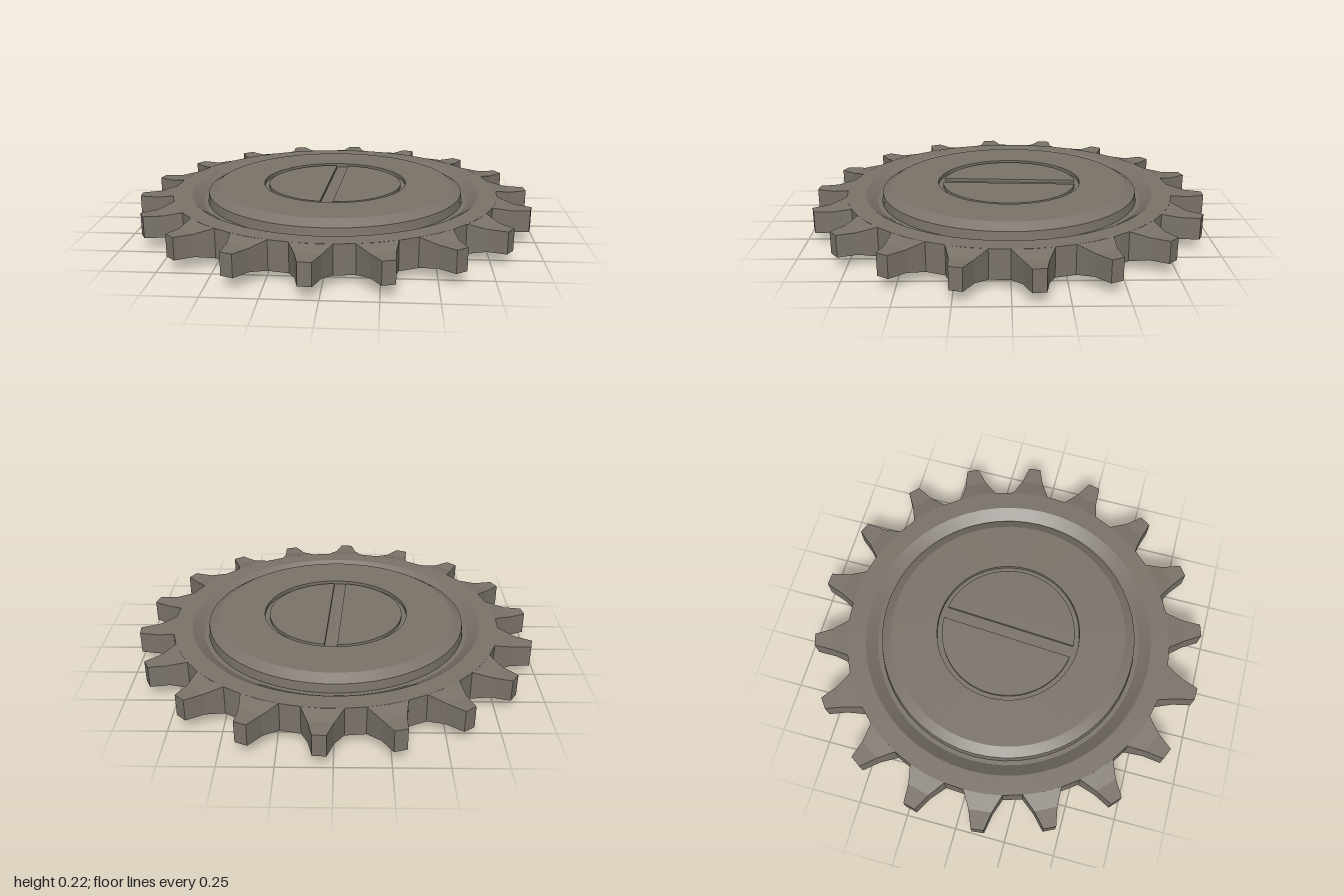
import * as THREE from 'three';
import { toCreasedNormals } from 'three/addons/utils/BufferGeometryUtils.js';

const TEETH = 18;
const rad = THREE.MathUtils.degToRad;

// One tapered tooth along +x: rectangular cross-sections lofted from root to tip
function toothGeometry() {
  const sections = [[0.824, 0.096, 0.072], [0.91, 0.057, 0.054], [1.0, 0.031, 0.054]]; // x, half width, half height
  const pos = [], idx = [];
  for (const [x, w, h] of sections) pos.push(x, -h, w, x, -h, -w, x, h, -w, x, h, w);
  for (let s = 0; s < sections.length - 1; s++) {
    for (let i = 0; i < 4; i++) {
      const a = s * 4 + i, b = s * 4 + (i + 1) % 4;
      idx.push(a, b, b + 4, a, b + 4, a + 4);
    }
  }
  const t = (sections.length - 1) * 4;
  idx.push(t, t + 1, t + 2, t, t + 2, t + 3); // tip face
  const g = new THREE.BufferGeometry();
  g.setAttribute('position', new THREE.Float32BufferAttribute(pos, 3));
  g.setIndex(idx);
  const flat = g.toNonIndexed();
  flat.computeVertexNormals();
  return flat;
}

// Ring and hub: the lower half of the profile, mirrored to close the top
function bodyGeometry() {
  const half = [
    [0, 0.09], [0.365, 0.09], [0.365, 0.109],   // recess around the slotted insert
    [0.6, 0.109], [0.65, 0.08], [0.655, 0.035], // chamfered hub
    [0.677, 0.035], [0.735, 0.072],             // sloped groove
    [0.83, 0.072],                              // outer rim
  ];
  const points = [
    ...half.map(([r, h]) => new THREE.Vector2(r, -h)),
    ...half.slice().reverse().map(([r, h]) => new THREE.Vector2(r, h)),
  ];
  return toCreasedNormals(new THREE.LatheGeometry(points, TEETH * 3, Math.PI / 2), 0.4);
}

// Half of the central insert; the two halves leave a straight slot between them
function insertGeometry() {
  const r = 0.34, a = Math.asin(0.031 / r);
  const shape = new THREE.Shape();
  shape.absarc(0, 0, r, a, Math.PI - a, false);
  shape.closePath();
  const g = new THREE.ExtrudeGeometry(shape, { depth: 0.218, bevelEnabled: false, curveSegments: 27 });
  g.rotateX(-Math.PI / 2);
  g.translate(0, -0.113, 0);
  return toCreasedNormals(g, 0.4);
}

export function createModel() {
  const model = new THREE.Group();
  model.name = 'sprocket';
  const metal = new THREE.MeshStandardMaterial({ color: 0x7a736a });

  const add = (name, geometry, angle = 0) => {
    const mesh = new THREE.Mesh(geometry, metal);
    mesh.name = name;
    mesh.rotation.y = angle;
    wheel.add(mesh);
  };

  const wheel = new THREE.Group();
  wheel.name = 'wheel';
  wheel.position.y = 0.113;
  wheel.rotation.y = rad(6.6);
  model.add(wheel);

  add('hubAndRim', bodyGeometry());

  const insert = insertGeometry();
  for (const angle of [80, 260]) add('slottedInsertHalf', insert, rad(angle));

  const tooth = toothGeometry();
  for (let i = 0; i < TEETH; i++) add('tooth', tooth, (i * 2 * Math.PI) / TEETH);

  return model;
}
